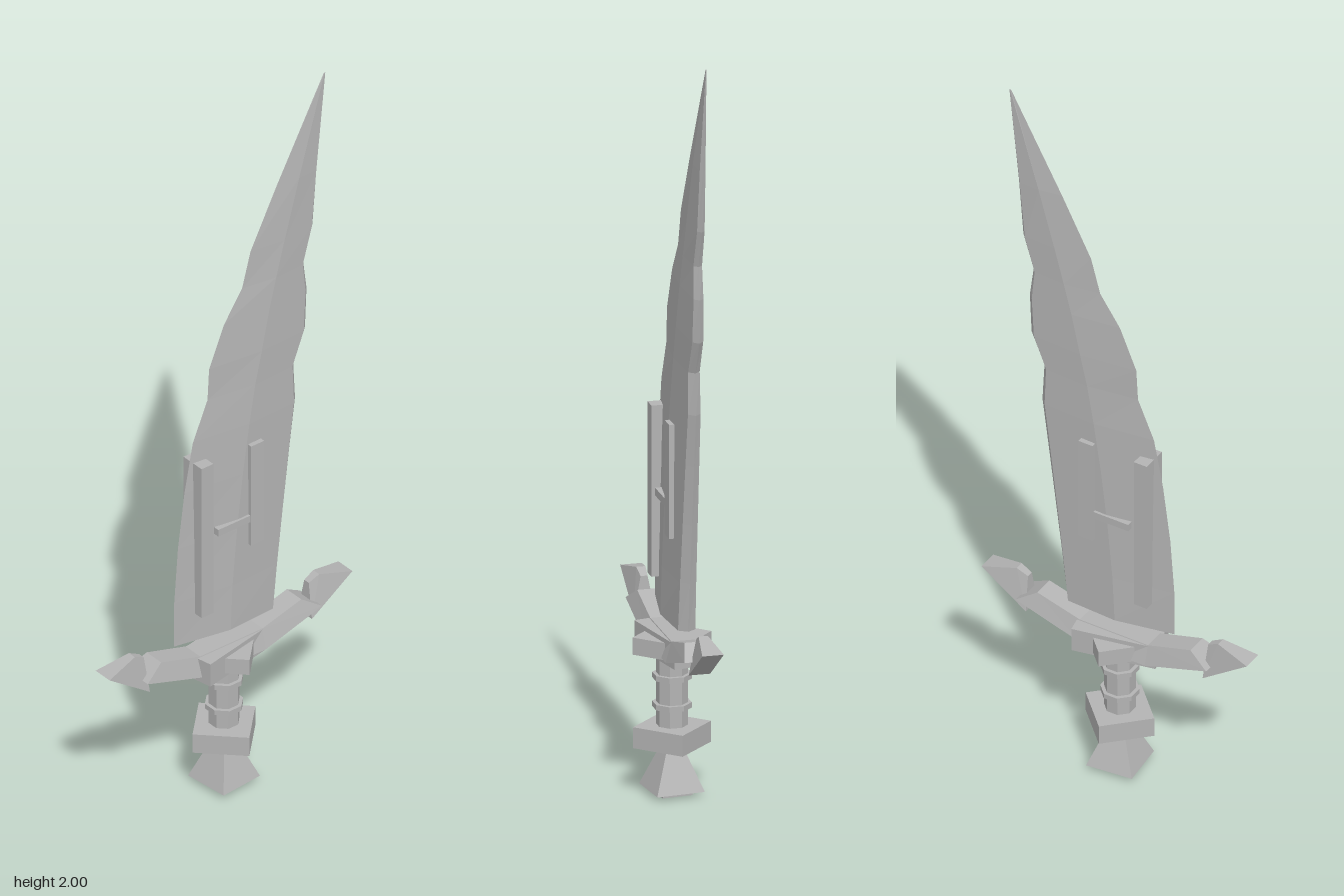
import * as THREE from 'three';
import { ConvexGeometry } from 'three/addons/geometries/ConvexGeometry.js';

const steel = new THREE.MeshStandardMaterial({ color: 0xb3b3b3 });
steel.name = 'grey steel';

// Faceted solid through a series of rings (each counter-clockwise seen from the last ring)
function loft(rings) {
  const n = rings[0].length, pos = [];
  const tri = (a, b, c) => pos.push(...a, ...b, ...c);
  for (let k = 0; k < rings.length - 1; k++) {
    for (let i = 0; i < n; i++) {
      const j = (i + 1) % n, r = rings[k], s = rings[k + 1];
      tri(r[i], r[j], s[j]);
      tri(r[i], s[j], s[i]);
    }
  }
  const first = rings[0], last = rings[rings.length - 1];
  for (let i = 1; i < n - 1; i++) {
    tri(first[0], first[i + 1], first[i]);
    tri(last[0], last[i], last[i + 1]);
  }
  const g = new THREE.BufferGeometry();
  g.setAttribute('position', new THREE.Float32BufferAttribute(pos, 3));
  g.computeVertexNormals();
  return g;
}

export function createModel() {
  const model = new THREE.Group();
  model.name = 'sword';

  function add(name, geometry, x = 0, y = 0, z = 0, turn = 0) {
    const flat = geometry.index ? geometry.toNonIndexed() : geometry;
    flat.computeVertexNormals();
    const mesh = new THREE.Mesh(flat, steel);
    mesh.name = name;
    mesh.position.set(x, y, z);
    mesh.rotation.y = turn;
    model.add(mesh);
    return mesh;
  }
  const box = (name, w, h, d, y, z, turn) =>
    add(name, new THREE.BoxGeometry(w, h, d), 0, y, z, turn);

  // Blade: height, cutting edge z, spine z, half thickness
  const sections = [
    [0.47, 0.16, -0.155, 0.03], [0.6, 0.16, -0.17, 0.028],
    [0.76, 0.148, -0.19, 0.026], [0.92, 0.127, -0.21, 0.024],
    [1.06, 0.1, -0.228, 0.022], [1.17, 0.053, -0.222, 0.02],
    [1.26, 0.048, -0.26, 0.019], [1.375, 0, -0.265, 0.017],
    [1.46, -0.058, -0.254, 0.015], [1.56, -0.085, -0.284, 0.013],
    [1.725, -0.17, -0.297, 0.01], [2.0, -0.32, -0.325, 0.001],
  ];
  add('blade', loft(sections.map(([y, front, back, w]) => {
    const span = front - back, mid = front - span * 0.5, bevel = back + span * 0.05;
    return [
      [0, y, front], [w, y, mid], [w * 0.75, y, bevel],
      [0, y, back], [-w * 0.75, y, bevel], [-w, y, mid],
    ];
  })));

  // Raised bars running through the blade
  box('frontBladeBar', 0.072, 0.45, 0.038, 0.775, 0.082);
  box('rearBladeBar', 0.07, 0.3, 0.042, 0.85, -0.08);
  box('bladeCrossbar', 0.064, 0.02, 0.104, 0.78, -0.008);

  // Crossguard with upswept arms: top z, top y, bottom z, bottom y
  const guard = [
    [-0.225, 0.465, -0.28, 0.43], [-0.1, 0.43, -0.1, 0.375],
    [0.1, 0.43, 0.1, 0.375], [0.225, 0.465, 0.28, 0.43],
  ];
  add('crossguard', loft(guard.map(([tz, ty, bz, by]) => [
    [0.044, by, bz], [0.029, ty, tz], [-0.029, ty, tz], [-0.044, by, bz],
  ])));
  box('guardBlock', 0.098, 0.067, 0.224, 0.394, 0, 0.2);
  box('guardDiamond', 0.145, 0.045, 0.145, 0.393, 0, Math.PI / 4);

  // Wedge heads on the guard ends: z, y, half width
  const head = [
    [0.39, 0.48, 0.028], [0.26, 0.39, 0.028],
    [0.296, 0.502, 0.012], [0.265, 0.487, 0.009],
  ];
  for (const side of [1, -1]) {
    const points = head.flatMap(([z, y, w]) =>
      [w, -w].map((x) => new THREE.Vector3(x, y, z * side)));
    add(side > 0 ? 'frontGuardHead' : 'rearGuardHead', new ConvexGeometry(points));
  }

  // Grip with two raised rings
  add('grip', new THREE.CylinderGeometry(0.04, 0.04, 0.25, 8), 0, 0.245, 0, Math.PI / 8);
  for (const y of [0.232, 0.308]) {
    add('gripRing', new THREE.CylinderGeometry(0.05, 0.05, 0.014, 8), 0, y, 0, Math.PI / 8);
  }

  // Pommel: turned block, flared foot and small base plate
  box('pommelBlock', 0.143, 0.055, 0.143, 0.152, 0, Math.PI / 4);
  add('pommelFoot', new THREE.CylinderGeometry(0.028, 0.09, 0.115, 4), 0, 0.07, 0, Math.PI / 4 + 0.1);
  box('pommelBase', 0.08, 0.016, 0.08, 0.008, 0, 0.1);

  return model;
}
